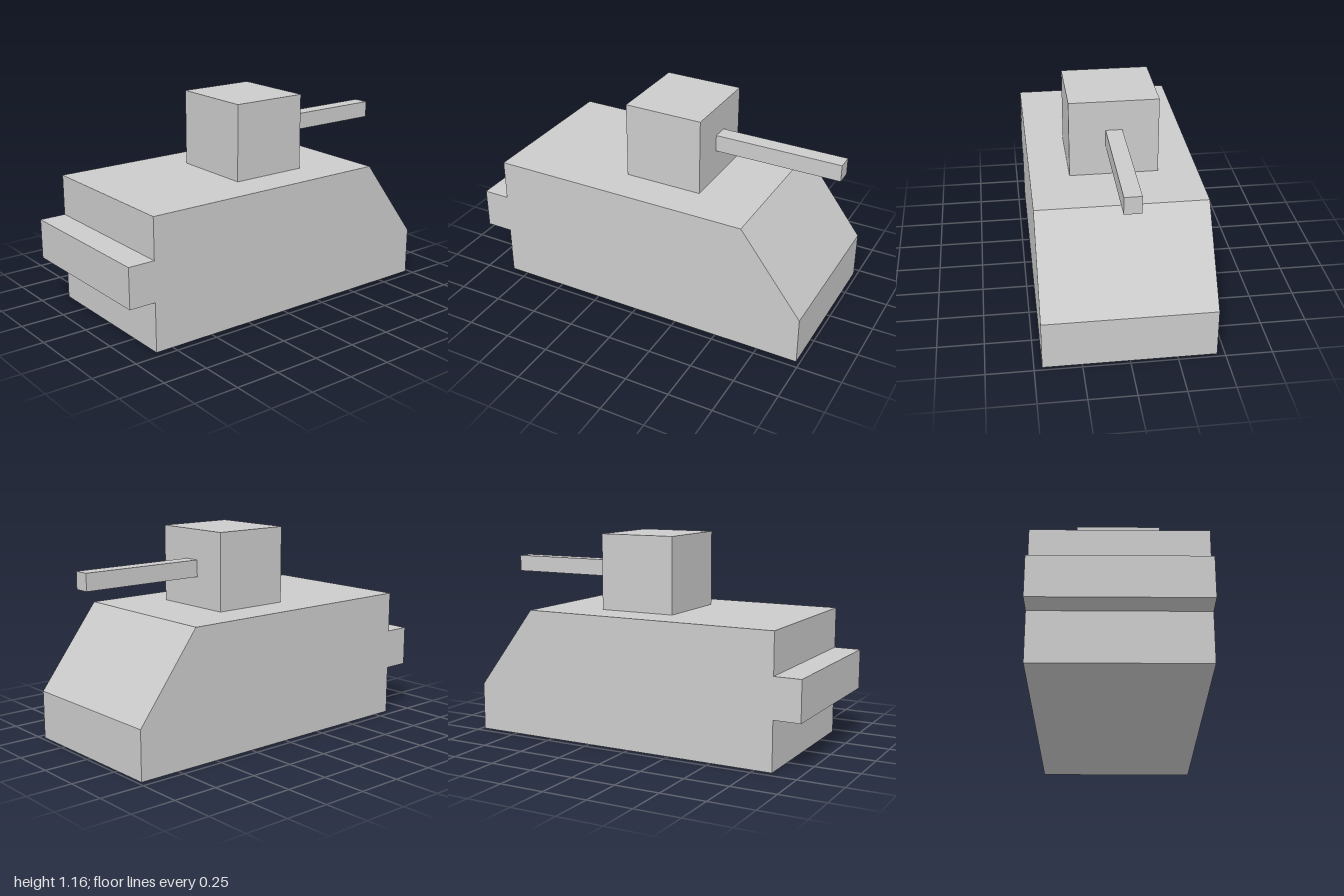
import * as THREE from 'three';

export function createModel() {
  const model = new THREE.Group();
  model.name = 'tank';
  const material = new THREE.MeshStandardMaterial({ color: 0xcccccc, flatShading: true });

  const add = (name, geometry) => {
    const mesh = new THREE.Mesh(geometry, material);
    mesh.name = name;
    model.add(mesh);
    return mesh;
  };

  // Box given by its x range, y range and depth, centred on z = 0
  const addBox = (name, x0, x1, y0, y1, depth) =>
    add(name, new THREE.BoxGeometry(x1 - x0, y1 - y0, depth))
      .position.set((x0 + x1) / 2, (y0 + y1) / 2, 0);

  // Hull: side profile with sloped nose and rear ledge, extruded across the width
  const width = 0.916;
  const profile = new THREE.Shape([
    [-0.85, 0], [0.98, 0], [0.98, 0.27], [0.63, 0.73], [-0.85, 0.73],
    [-0.85, 0.5], [-1, 0.5], [-1, 0.275], [-0.85, 0.275],
  ].map(([x, y]) => new THREE.Vector2(x, y)));
  const hull = new THREE.ExtrudeGeometry(profile, { depth: width, bevelEnabled: false });
  hull.translate(0, 0, -width / 2);
  add('hull', hull);

  // Turret and gun
  addBox('turret', -0.16, 0.285, 0.73, 1.158, 0.484);
  addBox('gunBarrel', 0.285, 1, 0.897, 0.991, 0.09);

  return model;
}
